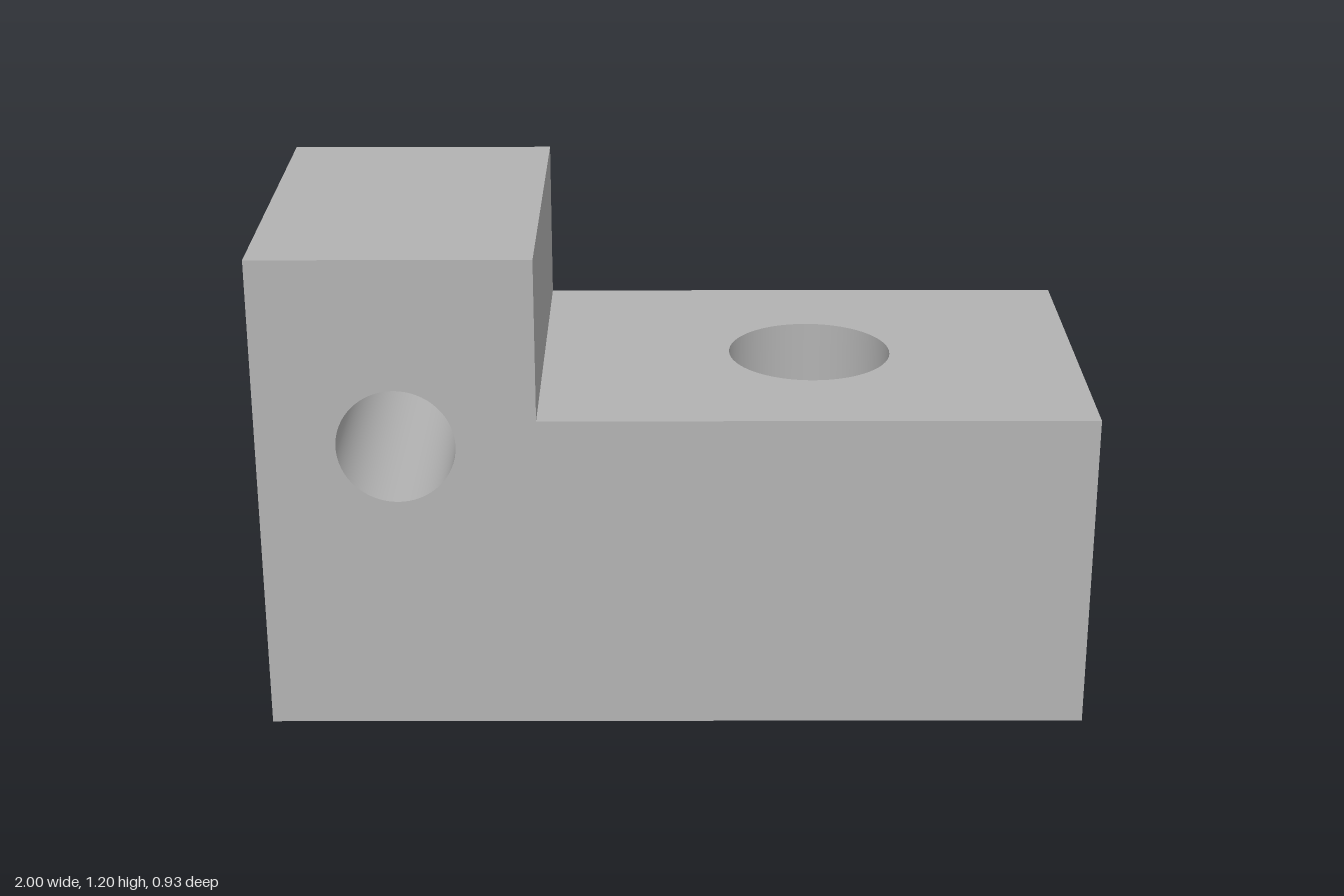
import * as THREE from 'three';

const HALF = 0.467;                          // half depth along z
const STEP = -1 / 3, TOP = 1.2, LOW = 0.8;   // step position and the two heights
const BOLT = { x: -0.667, y: 0.735, r: 0.142 };
const NUT = { r: 0.227, depth: 0.16 };
const BORE = { x: 0.333, r: 0.202 };
const SEG = 64;

export function createModel() {
  const group = new THREE.Group();
  const grey = new THREE.MeshStandardMaterial({ color: 0xb2b2b2 });

  const add = (name, geometry) => {
    const mesh = new THREE.Mesh(geometry, grey);
    mesh.name = name;
    group.add(mesh);
    return mesh;
  };

  // Turns a surface inside out, for the walls of holes
  const invert = (geometry) => {
    const g = geometry.toNonIndexed();
    const { position, normal } = g.attributes;
    const a = new THREE.Vector3(), b = new THREE.Vector3();
    for (let i = 0; i < position.count; i += 3) {
      for (const attr of [position, normal]) {
        a.fromBufferAttribute(attr, i + 1);
        b.fromBufferAttribute(attr, i + 2);
        attr.setXYZ(i + 1, b.x, b.y, b.z);
        attr.setXYZ(i + 2, a.x, a.y, a.z);
      }
    }
    for (let i = 0; i < normal.array.length; i++) normal.array[i] *= -1;
    return g;
  };

  // Regular polygon path: 6 sides for the nut, many for round holes
  const ring = (x, y, r, sides) => Array.from({ length: sides }, (_, i) => {
    const t = (i / sides) * Math.PI * 2;
    return new THREE.Vector2(x + r * Math.cos(t), y + r * Math.sin(t));
  });
  const panel = (points, hole) => {
    const shape = new THREE.Shape(points);
    if (hole) shape.holes.push(new THREE.Path(hole));
    return new THREE.ShapeGeometry(shape);
  };
  const rect = (x0, x1, y0, y1) =>
    [[x0, y0], [x1, y0], [x1, y1], [x0, y1]].map(([x, y]) => new THREE.Vector2(x, y));

  const profile = [[-1, 0], [1, 0], [1, LOW], [STEP, LOW], [STEP, TOP], [-1, TOP]]
    .map(([x, y]) => new THREE.Vector2(x, y));

  // Front face with the round bolt hole
  add('frontFace', panel(profile, ring(BOLT.x, BOLT.y, BOLT.r, SEG))).position.z = HALF;

  // Back face with the hexagonal nut pocket
  const mirrored = profile.map((p) => new THREE.Vector2(-p.x, p.y)).reverse();
  const back = add('backFace', panel(mirrored, ring(-BOLT.x, BOLT.y, NUT.r, 6)));
  back.rotation.y = Math.PI;
  back.position.z = -HALF;

  // Horizontal faces; the bore passes through the low deck and the base
  const bore = ring(BORE.x, 0, BORE.r, SEG);
  const horizontal = (name, x0, x1, y, hole, down) => {
    const face = add(name, panel(rect(x0, x1, -HALF, HALF), hole));
    face.rotation.x = down ? Math.PI / 2 : -Math.PI / 2;
    face.position.y = y;
  };
  horizontal('postTop', -1, STEP, TOP);
  horizontal('deck', STEP, 1, LOW, bore);
  horizontal('base', -1, 1, 0, bore, true);

  // End faces and the riser of the step
  const upright = (name, x, y0, y1, side) => {
    const face = add(name, panel(rect(-HALF, HALF, y0, y1)));
    face.rotation.y = side * Math.PI / 2;
    face.position.x = x;
  };
  upright('leftEnd', 1, 0, LOW, 1);
  upright('stepRiser', STEP, LOW, TOP, 1);
  upright('rightEnd', -1, 0, TOP, -1);

  // Vertical bore wall
  const boreWall = new THREE.CylinderGeometry(BORE.r, BORE.r, LOW, SEG, 1, true);
  add('boreWall', invert(boreWall)).position.set(BORE.x, LOW / 2, 0);

  // Bolt hole wall, from the front face to the pocket floor
  const floorZ = -HALF + NUT.depth;
  const boltWall = new THREE.CylinderGeometry(BOLT.r, BOLT.r, HALF - floorZ, SEG, 1, true);
  boltWall.rotateX(Math.PI / 2);
  add('boltHoleWall', invert(boltWall)).position.set(BOLT.x, BOLT.y, (HALF + floorZ) / 2);

  // Nut pocket: six flat walls and a pierced floor
  const corners = ring(0, 0, NUT.r, 6);
  const pocket = new THREE.Group();
  pocket.name = 'nutPocket';
  pocket.position.set(BOLT.x, BOLT.y, 0);
  group.add(pocket);
  corners.forEach((p, i) => {
    const q = corners[(i + 1) % 6];
    const wall = new THREE.Mesh(new THREE.PlaneGeometry(p.distanceTo(q), NUT.depth), grey);
    wall.name = 'pocketWall';
    wall.geometry.rotateX(Math.PI / 2);      // lies flat, facing down
    wall.position.set((p.x + q.x) / 2, (p.y + q.y) / 2, -HALF + NUT.depth / 2);
    wall.rotation.z = (i + 0.5) * Math.PI / 3 - Math.PI / 2;
    pocket.add(wall);
  });
  const floor = new THREE.Mesh(panel(corners, ring(0, 0, BOLT.r, SEG)), grey);
  floor.name = 'pocketFloor';
  floor.rotation.y = Math.PI;
  floor.position.z = floorZ;
  pocket.add(floor);

  return group;
}
